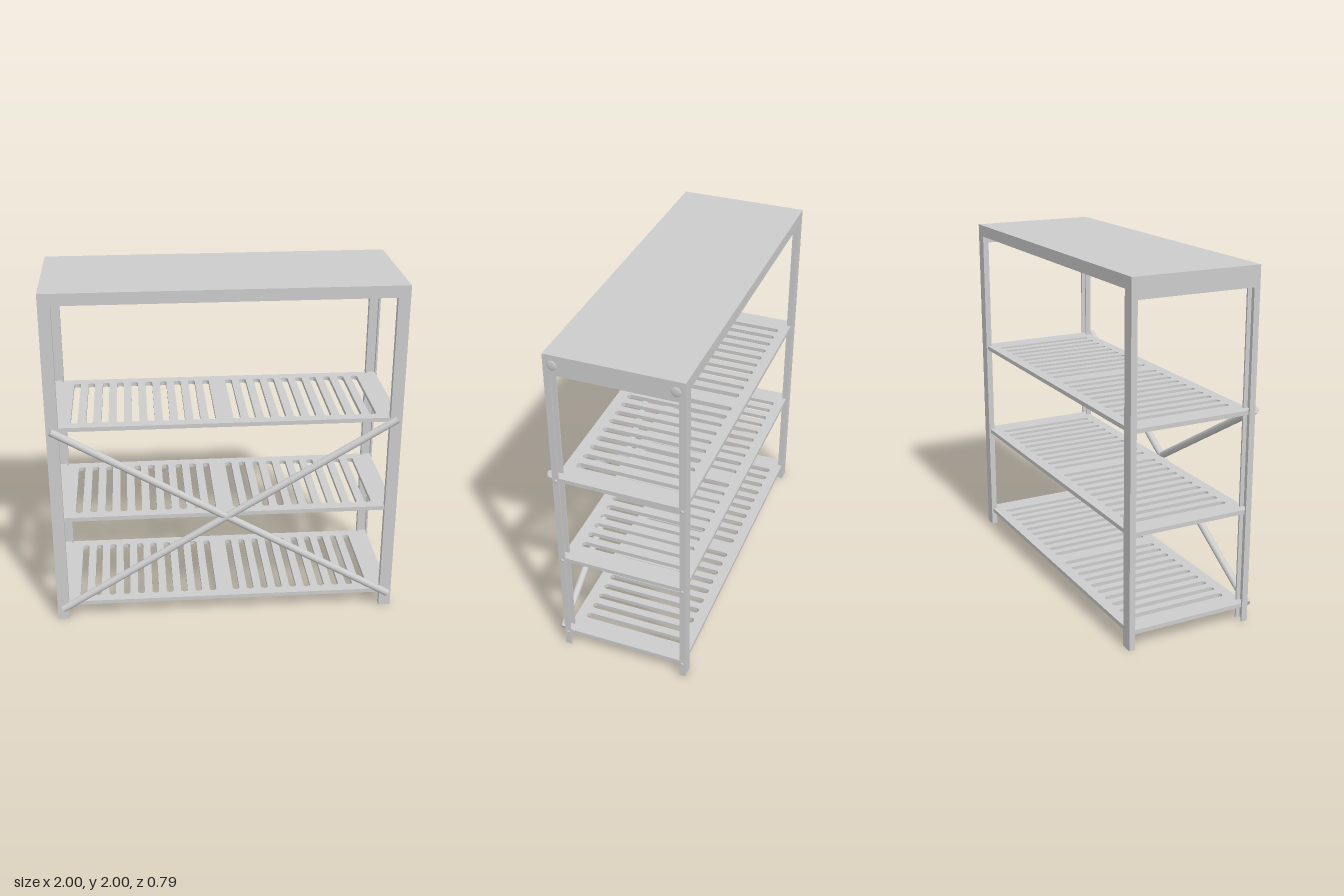
import * as THREE from 'three';

const X0 = -1, X1 = 0.994, Z0 = -0.396, Z1 = 0.35; // frame limits
const CX = (X0 + X1) / 2, CZ = (Z0 + Z1) / 2;

export function createModel() {
  const model = new THREE.Group();
  model.name = 'shelvingUnit';
  const metal = new THREE.MeshStandardMaterial({ color: 0xcccccc });

  const add = (parent, name, geometry) => {
    const mesh = new THREE.Mesh(geometry, metal);
    mesh.name = name;
    parent.add(mesh);
    return mesh;
  };
  // box given by its lower and upper limits
  const box = (parent, name, x0, x1, y0, y1, z0, z1) => {
    const g = new THREE.BoxGeometry(x1 - x0, y1 - y0, z1 - z0);
    g.translate((x0 + x1) / 2, (y0 + y1) / 2, (z0 + z1) / 2);
    return add(parent, name, g);
  };

  // Legs: channel profiles, web on the outside, open towards the shelves
  const w = 0.068, d = 0.035, t = 0.01;
  for (const sx of [-1, 1]) {
    for (const sz of [-1, 1]) {
      const profile = new THREE.Shape([
        [0, 0], [w, 0], [w, d], [w - t, d], [w - t, t], [t, t], [t, d], [0, d],
      ].map(([a, b]) => new THREE.Vector2(
        sx < 0 ? X0 + a : X1 - a,
        sz < 0 ? -(Z0 + b) : -(Z1 - b))));
      const g = new THREE.ExtrudeGeometry(profile, { depth: 1.932, bevelEnabled: false });
      g.rotateX(-Math.PI / 2);
      add(model, (sz > 0 ? 'front' : 'back') + (sx > 0 ? 'Left' : 'Right') + 'Leg', g);
    }
  }

  // Top: closed slab with a deeper skirt at each end
  const top = new THREE.Group();
  top.name = 'top';
  model.add(top);
  box(top, 'topSlab', X0, X1, 1.932, 2, Z0, Z1);
  box(top, 'rightSkirt', X0, X0 + 0.02, 1.885, 1.932, Z0, Z1);
  box(top, 'leftSkirt', X1 - 0.02, X1, 1.885, 1.932, Z0, Z1);

  // Slotted shelf: two sets of round-ended slots running front to back
  const hw = (X1 - X0) / 2 - t, hd = (Z1 - Z0) / 2 - t, h = 0.024;
  const outline = new THREE.Shape([
    new THREE.Vector2(-hw, -hd), new THREE.Vector2(hw, -hd),
    new THREE.Vector2(hw, hd), new THREE.Vector2(-hw, hd),
  ]);
  const slots = 10, r = 0.02, half = hd - 0.06 - r;
  for (const side of [-1, 1]) {
    for (let i = 0; i < slots; i++) {
      const x = side * (0.07 + i * 0.086);
      const hole = new THREE.Path();
      hole.moveTo(x + r, -half);
      hole.lineTo(x + r, half);
      hole.absarc(x, half, r, 0, Math.PI, false);
      hole.lineTo(x - r, -half);
      hole.absarc(x, -half, r, Math.PI, Math.PI * 2, false);
      outline.holes.push(hole);
    }
  }
  const shelfGeometry = new THREE.ExtrudeGeometry(outline, {
    depth: h, bevelEnabled: false, curveSegments: 8,
  });
  shelfGeometry.rotateX(-Math.PI / 2);
  const levels = [0.084, 0.643, 1.204];
  levels.forEach((y) => add(model, 'slottedShelf', shelfGeometry).position.set(CX, y, CZ));

  // Domed bolt heads on the left side
  const dome = new THREE.SphereGeometry(1, 24, 8, 0, Math.PI * 2, 0, Math.PI / 2);
  dome.rotateZ(-Math.PI / 2);
  const bolt = (y, z, radius) => {
    const mesh = add(model, 'bolt', dome);
    mesh.scale.set(0.006, radius, radius);
    mesh.position.set(X1, y, z);
  };
  for (const s of [-1, 1]) {
    bolt(1.942, CZ + s * 0.323, 0.027);
    levels.forEach((y) => bolt(y + h / 2, CZ + s * 0.353, 0.01));
  }

  // Crossed tie rods on the front
  const rodRadius = 0.021;
  const rod = (x0, y0, x1, y1) => {
    const a = new THREE.Vector3(x0, y0, Z1 + rodRadius);
    const b = new THREE.Vector3(x1, y1, Z1 + rodRadius);
    const dir = b.clone().sub(a);
    const mesh = add(model, 'crossBrace',
      new THREE.CylinderGeometry(rodRadius, rodRadius, dir.length(), 24));
    mesh.position.copy(a).add(b).multiplyScalar(0.5);
    mesh.quaternion.setFromUnitVectors(new THREE.Vector3(0, 1, 0), dir.normalize());
  };
  rod(-0.975, 1.22, 0.968, 0.095);
  rod(-0.965, 0.08, 0.963, 1.23);

  return model;
}
